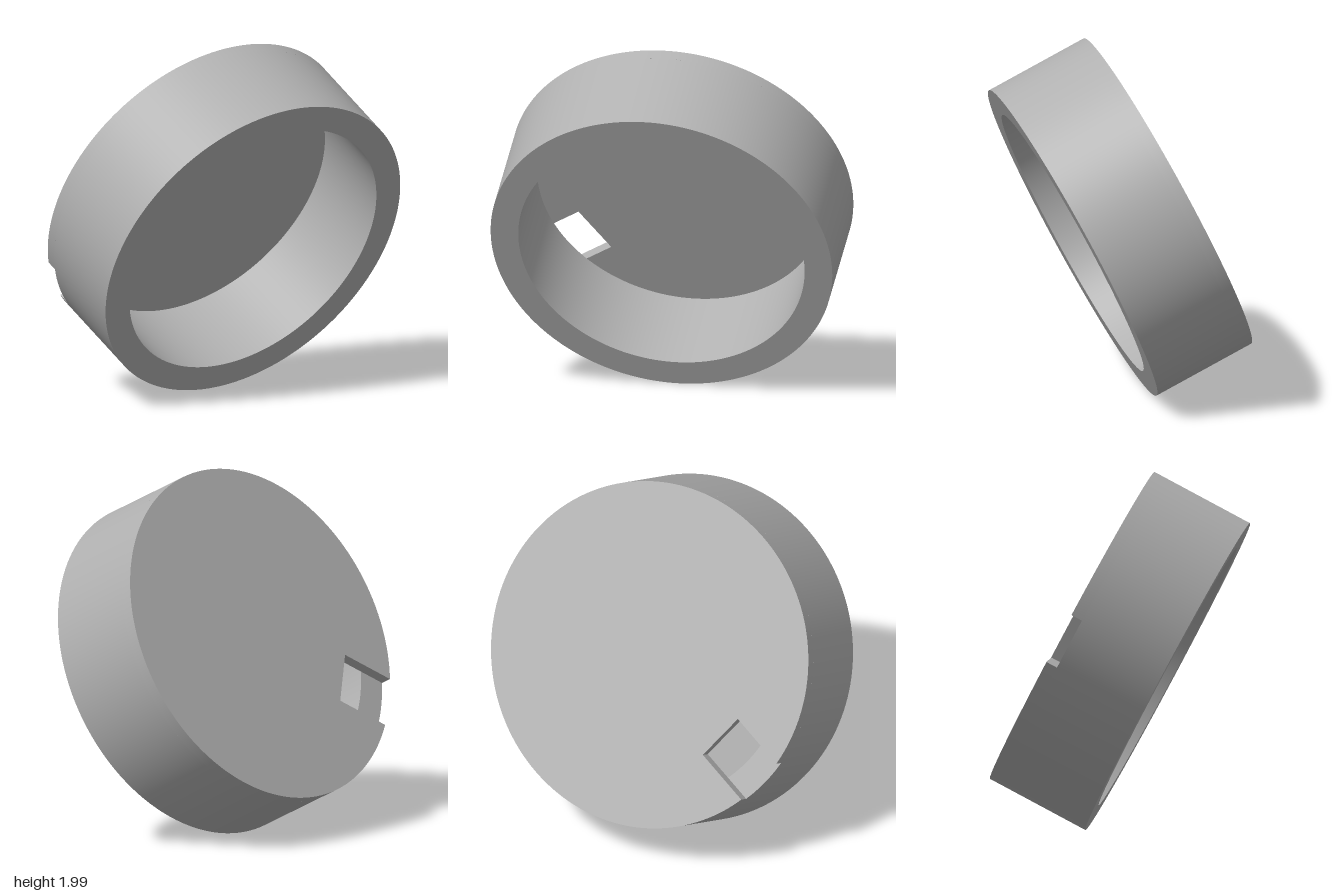
import * as THREE from 'three';
import { toCreasedNormals } from 'three/addons/utils/BufferGeometryUtils.js';

const R = 0.964;        // outer radius
const INNER = 0.808;    // inner radius
const HEIGHT = 0.6;     // full depth of the cup
const FLOOR = 0.066;    // thickness of the closed end
const NOTCH_HALF = 0.148;
const NOTCH_IN = 0.617; // distance from axis to inner edge of the notch

function extrude(shape, depth, curveSegments) {
  const geo = new THREE.ExtrudeGeometry(shape, { depth, curveSegments, bevelEnabled: false });
  return toCreasedNormals(geo, Math.PI / 6);
}

export function createModel() {
  const grey = new THREE.MeshStandardMaterial({ color: 0xb0b0b0 });
  grey.name = 'grey';

  // Closed end: disc with a rectangular notch cut in from its edge along +x
  const a = Math.asin(NOTCH_HALF / R);
  const disc = new THREE.Shape();
  disc.moveTo(NOTCH_IN, NOTCH_HALF);
  disc.lineTo(R * Math.cos(a), NOTCH_HALF);
  disc.absarc(0, 0, R, a, Math.PI * 2 - a, false);
  disc.lineTo(NOTCH_IN, -NOTCH_HALF);
  disc.closePath();
  const floor = new THREE.Mesh(extrude(disc, FLOOR, 120), grey);
  floor.name = 'notchedFloor';

  // Round wall
  const ring = new THREE.Shape().absarc(0, 0, R, 0, Math.PI * 2, false);
  ring.holes.push(new THREE.Path().absarc(0, 0, INNER, 0, Math.PI * 2, true));
  const wall = new THREE.Mesh(extrude(ring, HEIGHT - FLOOR, 128), grey);
  wall.name = 'ringWall';
  wall.position.z = FLOOR;

  // Tilt: local z is the opening direction, local x points at the notch
  const axis = new THREE.Vector3(0.883, -0.442, 0.158).normalize();
  const toNotch = new THREE.Vector3(-0.381, -0.492, 0.784);
  toNotch.addScaledVector(axis, -toNotch.dot(axis)).normalize();
  const side = new THREE.Vector3().crossVectors(axis, toNotch);
  const cup = new THREE.Group();
  cup.name = 'cup';
  cup.add(floor, wall);
  cup.quaternion.setFromRotationMatrix(new THREE.Matrix4().makeBasis(toNotch, side, axis));
  cup.position.set(0, 0.997, 0).addScaledVector(axis, -HEIGHT / 2);

  const model = new THREE.Group();
  model.name = 'notchedCap';
  model.add(cup);
  return model;
}
